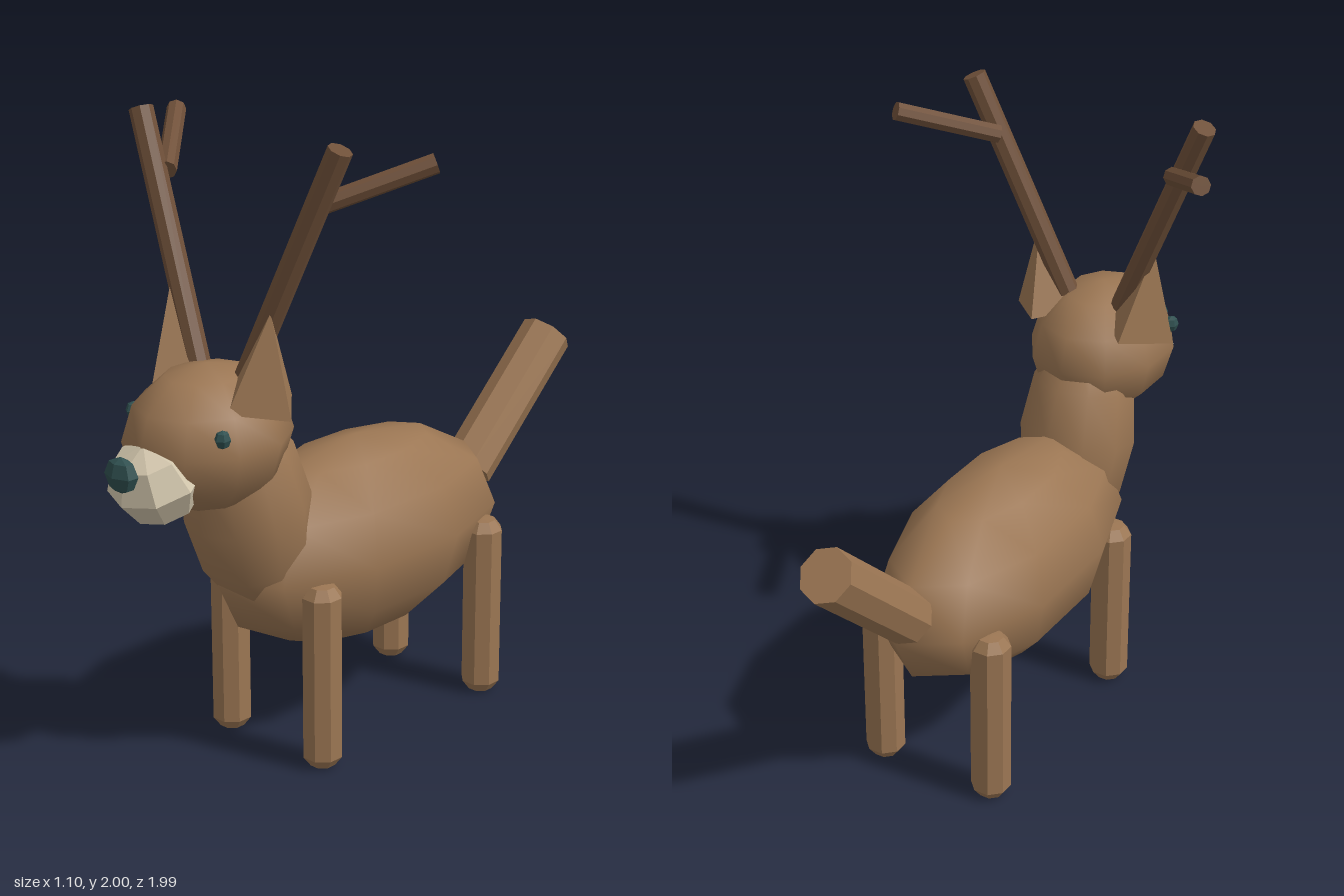
import * as THREE from 'three';

export function createModel() {
  const model = new THREE.Group();
  model.name = 'deer';

  const mat = (name, color, flatShading = false) => {
    const m = new THREE.MeshStandardMaterial({ color, flatShading });
    m.name = name;
    return m;
  };
  const fur = mat('brown fur', 0x9b7653);
  const furFlat = mat('brown fur faceted', 0x9b7653, true);
  const horn = mat('dark brown antler', 0x6f5039, true);
  const cream = mat('cream muzzle', 0xd2c6ac, true);
  const dark = mat('dark slate', 0x2f4f4f, true);

  const add = (name, geometry, material, x = 0, y = 0, z = 0) => {
    const mesh = new THREE.Mesh(geometry, material);
    mesh.name = name;
    mesh.position.set(x, y, z);
    model.add(mesh);
    return mesh;
  };

  // Ellipsoid with a vertex column facing front and back
  const ellipsoid = (rx, ry, rz, sides = 10, rows = 6) =>
    new THREE.SphereGeometry(1, sides, rows).rotateY(Math.PI / 2).scale(rx, ry, rz);

  // Straight rod between two points
  const rod = (name, a, b, radius, sides, material) => {
    const from = new THREE.Vector3(...a), to = new THREE.Vector3(...b);
    const dir = to.clone().sub(from);
    const mesh = add(name, new THREE.CylinderGeometry(radius, radius, dir.length(), sides), material);
    mesh.position.copy(from).add(to).multiplyScalar(0.5);
    mesh.quaternion.setFromUnitVectors(new THREE.Vector3(0, 1, 0), dir.normalize());
    return mesh;
  };

  // Body, neck and head
  add('body', ellipsoid(0.28, 0.325, 0.6), fur, 0, 0.615, 0);
  add('neck', ellipsoid(0.19, 0.36, 0.2), fur, 0, 0.83, 0.47).rotation.x = 0.21;
  add('head', ellipsoid(0.23, 0.22, 0.27), fur, 0, 1.1, 0.625);

  // Muzzle and nose
  add('muzzle', ellipsoid(0.148, 0.125, 0.14, 8, 4), cream, 0, 1.015, 0.835).rotation.x = 0.35;
  add('nose', ellipsoid(0.06, 0.055, 0.037, 6, 4), dark, 0, 1.065, 0.963);

  // Tail
  rod('tail', [0, 0.68, -0.535], [0, 1.055, -0.935], 0.086, 8, furFlat);

  // Leg: octagonal post with bevelled ends
  const legProfile = [[0, 0], [0.04, 0.003], [0.064, 0.035], [0.064, 0.565], [0.04, 0.597], [0, 0.6]]
    .map(([r, y]) => new THREE.Vector2(r, y));
  const legGeo = new THREE.LatheGeometry(legProfile, 8).rotateY(Math.PI / 8);

  for (const s of [1, -1]) {
    const side = s > 0 ? 'left' : 'right';
    add(side + 'FrontLeg', legGeo, furFlat, s * 0.2, 0, 0.36);
    add(side + 'BackLeg', legGeo, furFlat, s * 0.2, 0, -0.385);
    add(side + 'Eye', ellipsoid(0.024, 0.028, 0.026, 6, 4), dark, s * 0.188, 1.16, 0.745);

    // Four-sided ear with its base at the origin
    const ear = new THREE.ConeGeometry(0.13, 0.29, 4).translate(0, 0.145, 0);
    add(side + 'Ear', ear, furFlat, s * 0.16, 1.215, 0.57).rotation.z = -s * 0.17;

    // Antler and its tine
    rod(side + 'Antler', [s * 0.1, 1.28, 0.565], [s * 0.405, 1.985, 0.49], 0.037, 8, horn);
    rod(side + 'AntlerTine', [s * 0.31, 1.81, 0.48], [s * 0.53, 1.925, 0.235], 0.03, 8, horn);
  }
  return model;
}
